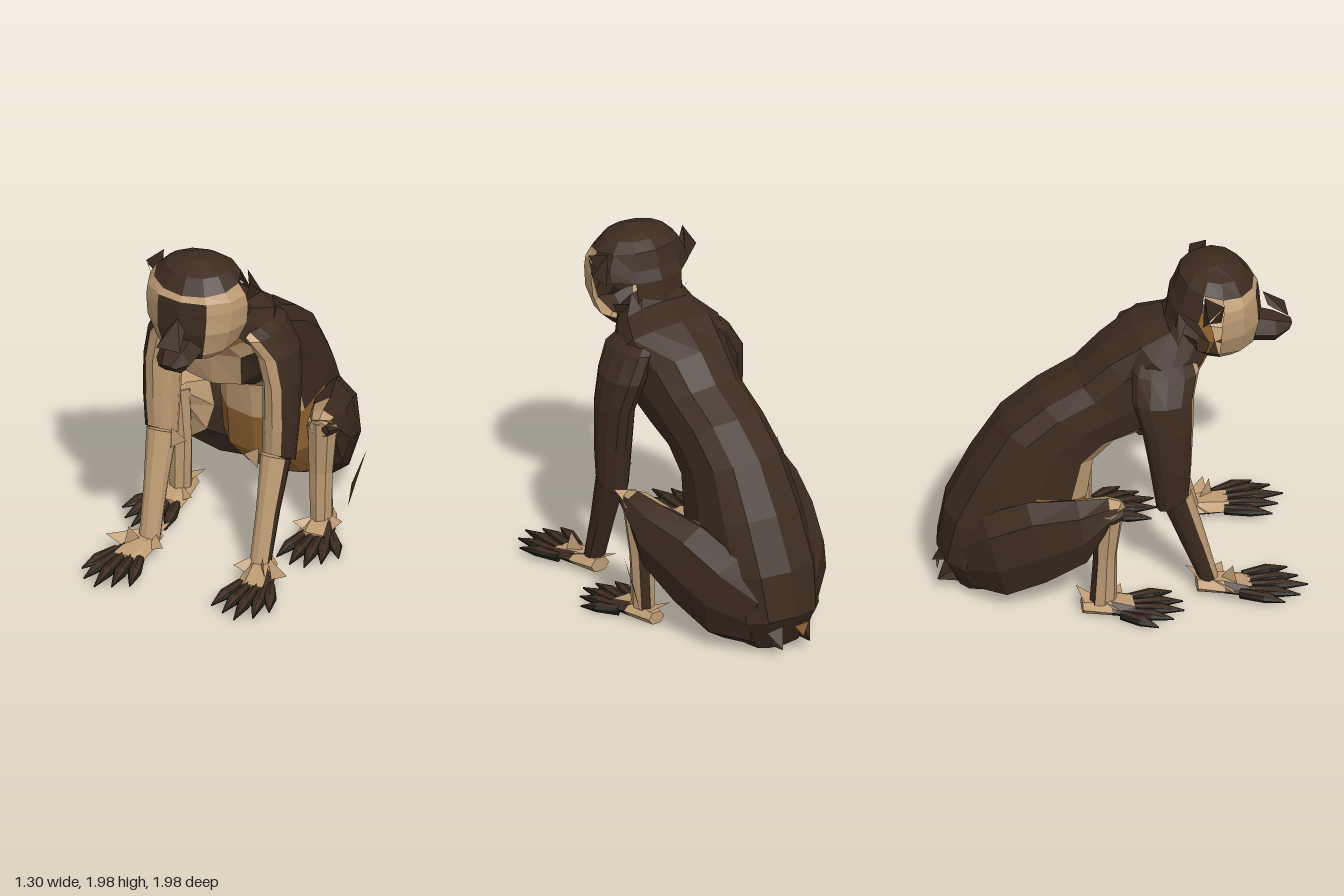
import * as THREE from 'three';

const paint = (name, color) => new THREE.MeshStandardMaterial({ name, color, side: THREE.DoubleSide });

export function createModel() {
  const model = new THREE.Group();
  model.name = 'sittingMonkey';
  const mats = [
    paint('darkFur', 0x3c2b1f), paint('tanFur', 0xbe9c74),
    paint('ochreFur', 0x906331), paint('blackSkin', 0x201e14),
  ];
  const DARK = 0, TAN = 1, OCHRE = 2, BLACK = 3, NONE = -1;

  // Faceted mesh from triangles sorted by colour
  function addMesh(name, buckets, parent) {
    const geo = new THREE.BufferGeometry();
    const pos = [];
    buckets.forEach((list, m) => {
      if (!list.length) return;
      geo.addGroup(pos.length / 3, list.length, m);
      list.forEach((p) => pos.push(p.x, p.y, p.z));
    });
    geo.setAttribute('position', new THREE.Float32BufferAttribute(pos, 3));
    geo.computeVertexNormals();
    const mesh = new THREE.Mesh(geo, mats);
    mesh.name = name;
    parent.add(mesh);
    return mesh;
  }

  // Skin over oval rings, each [x, backZ, backY, frontZ, frontY, halfWidth];
  // colour(segment, outward, forward) picks the fur of each face;
  // a power below 1 makes the ovals boxier
  function loft(name, rings, n, colour, s = 1, parent = model, power = 1) {
    const buckets = mats.map(() => []);
    const bend = (w) => Math.sign(w) * Math.abs(w) ** power;
    const at = rings.map(([x, bz, by, fz, fy, a]) => Array.from({ length: n }, (_, j) => {
      const t = (j / n) * Math.PI * 2, k = bend(Math.sin(t)) / 2;
      return new THREE.Vector3(s * x + a * bend(Math.cos(t)),
        (by + fy) / 2 + k * (fy - by), (bz + fz) / 2 + k * (fz - bz));
    }));
    const mid = rings.map(([x, bz, by, fz, fy]) => new THREE.Vector3(s * x, (by + fy) / 2, (bz + fz) / 2));
    const last = rings.length - 1;
    for (let j = 0; j < n; j++) {
      const k = (j + 1) % n, t = ((j + 0.5) / n) * Math.PI * 2;
      const u = s * Math.cos(t), v = Math.sin(t);
      for (let i = 0; i < last; i++) {
        const c = colour(i, u, v);
        if (c === NONE) continue;
        buckets[c].push(at[i][j], at[i + 1][j], at[i + 1][k], at[i][j], at[i + 1][k], at[i][k]);
      }
      buckets[colour(0, u, v)].push(mid[0], at[0][j], at[0][k]);
      buckets[colour(last - 1, u, v)].push(mid[last], at[last][k], at[last][j]);
    }
    return addMesh(name, buckets, parent);
  }

  // Loose triangular fur tufts, mirrored by s
  function tufts(name, colour, tris, s = 1, parent = model) {
    const buckets = mats.map(() => []);
    tris.forEach((t) => {
      for (let i = 0; i < 9; i += 3) buckets[colour].push(new THREE.Vector3(s * t[i], t[i + 1], t[i + 2]));
    });
    addMesh(name, buckets, parent);
  }

  // Torso from rump to neck: ochre belly and throat, pale chest, dark armpits
  loft('torso', [
    [0, -0.88, 0.05, -0.6, 0.035, 0.16],
    [0, -0.98, 0.26, -0.41, 0.14, 0.26],
    [0, -0.94, 0.52, -0.19, 0.36, 0.29],
    [0, -0.8, 0.8, -0.15, 0.61, 0.28],
    [0, -0.63, 1.07, -0.12, 0.83, 0.255],
    [0, -0.43, 1.23, -0.01, 0.94, 0.25],
    [0, -0.22, 1.35, 0.15, 0.99, 0.25],
    [0, -0.08, 1.49, 0.36, 1.1, 0.27],
    [0, 0.1, 1.6, 0.41, 1.31, 0.31],
    [0, 0.27, 1.65, 0.47, 1.4, 0.24],
    [0, 0.32, 1.75, 0.54, 1.5, 0.17],
  ], 12, (i, u, v) => {
    if (i < 3) return v > 0.2 ? OCHRE : DARK;
    if (v < 0.6) return DARK;
    if (i === 9) return OCHRE;
    return (i === 6 || i === 7) && v < 0.9 ? DARK : TAN;
  }, 1, model, 0.75);

  // Head: dark crown, pale cheeks, dark face, open behind the cheeks
  loft('head', [
    [0, 0.42, 1.45, 0.68, 1.43, 0.14],
    [0, 0.3, 1.55, 0.77, 1.5, 0.23],
    [0, 0.27, 1.65, 0.8, 1.65, 0.285],
    [0, 0.29, 1.77, 0.79, 1.77, 0.295],
    [0, 0.32, 1.83, 0.78, 1.835, 0.285],
    [0, 0.35, 1.93, 0.76, 1.865, 0.245],
    [0, 0.41, 1.97, 0.7, 1.95, 0.18],
    [0, 0.46, 1.99, 0.58, 2.0, 0.07],
  ], 12, (i, u, v) => {
    if (i > 0 && i < 5 && v < 0 && v > (i === 2 ? -0.8 : -0.5)) return NONE;
    if (i > 4 || v < 0) return DARK;
    return v > 0.9 && i !== 4 ? DARK : TAN;
  });

  // Muzzle, with a loose flap for the nose bridge
  loft('muzzle', [
    [0, 0.75, 1.63, 0.75, 1.46, 0.12],
    [0, 0.87, 1.59, 0.87, 1.44, 0.1],
    [0, 0.97, 1.54, 0.93, 1.49, 0.05],
  ], 6, (i, u, v) => (v > 0.9 ? BLACK : DARK));
  tufts('noseBridge', DARK, [
    [-0.07, 1.62, 0.94, 0.07, 1.62, 0.94, 0, 1.75, 0.81],
    [-0.07, 1.62, 0.94, 0, 1.75, 0.81, -0.05, 1.69, 0.83],
    [0.07, 1.62, 0.94, 0, 1.75, 0.81, 0.05, 1.69, 0.83],
  ]);

  // Leaf-shaped finger or toe, dark on top and black below
  function digit(parent, name, x, y, z, heading, length) {
    const mesh = loft(name, [
      [0, 0, 0.03, 0, -0.03, 0.025],
      [0, length * 0.55, 0.028, length * 0.55, -0.028, 0.038],
      [0, length, -0.01, length, -0.02, 0.004],
    ], 8, (i, u, v) => (v < -0.5 ? DARK : BLACK), 1, parent);
    mesh.rotation.y = heading;
    mesh.position.set(x, y, z);
  }

  for (const s of [1, -1]) {
    const side = s > 0 ? 'left' : 'right';
    const arm = new THREE.Group();
    arm.name = side + 'Arm';
    const leg = new THREE.Group();
    leg.name = side + 'Leg';
    model.add(arm, leg);

    // Arm: dark outside, pale along the front and inside
    loft('upperArm', [
      [0.35, 0.17, 0.62, 0.35, 0.73, 0.09],
      [0.355, 0.13, 0.9, 0.36, 0.9, 0.1],
      [0.355, 0.09, 1.15, 0.37, 1.15, 0.1],
      [0.32, 0.04, 1.33, 0.38, 1.33, 0.11],
      [0.25, 0.05, 1.48, 0.42, 1.45, 0.1],
      [0.15, 0.12, 1.56, 0.4, 1.52, 0.07],
    ], 12, (i, u, v) => ((v > 0.2 && u < 0.5) || u < -0.9 ? TAN : DARK), s, arm);
    loft('forearm', [
      [0.33, 0.41, 0.09, 0.51, 0.12, 0.06],
      [0.335, 0.3, 0.38, 0.44, 0.41, 0.065],
      [0.34, 0.2, 0.65, 0.36, 0.72, 0.085],
    ], 12, (i, u, v) => (v > 0.5 || u < -0.5 ? TAN : DARK), s, arm);

    // Hands and feet: rings run forward, back edge is the top
    const palmFur = (i, u, v) => {
      if (i === 0) return TAN;
      if (v > 0) return BLACK;
      return u < 0.5 ? TAN : DARK;
    };
    loft('palm', [
      [0.34, 0.39, 0.13, 0.39, 0.04, 0.06],
      [0.36, 0.53, 0.13, 0.53, 0.035, 0.09],
      [0.39, 0.68, 0.1, 0.68, 0.035, 0.11],
    ], 6, palmFur, s, arm);
    [[0.3, 0.65, -0.22, 0.26], [0.35, 0.66, -0.07, 0.29], [0.4, 0.66, 0.05, 0.33],
      [0.44, 0.65, 0.22, 0.29], [0.46, 0.61, 0.4, 0.25]]
      .forEach(([x, z, h, l]) => digit(arm, 'finger', s * x, 0.07, z, s * h, l));
    tufts('armTufts', TAN, [
      [0.26, 0.74, 0.33, 0.17, 0.68, 0.33, 0.26, 0.62, 0.34],
      [0.3, 0.15, 0.46, 0.21, 0.11, 0.55, 0.29, 0.08, 0.55],
      [0.38, 0.14, 0.45, 0.54, 0.13, 0.57, 0.42, 0.08, 0.58],
      [0.36, 0.12, 0.52, 0.4, 0.22, 0.58, 0.42, 0.1, 0.6],
      [0.28, 0.12, 0.42, 0.26, 0.15, 0.34, 0.36, 0.12, 0.4],
    ], s, arm);

    // Thigh: rings run forward from hip to knee
    loft('thigh', [
      [0.12, -0.91, 0.42, -0.82, 0.05, 0.1],
      [0.23, -0.77, 0.6, -0.63, 0.05, 0.165],
      [0.32, -0.54, 0.72, -0.43, 0.17, 0.15],
      [0.405, -0.28, 0.765, -0.23, 0.35, 0.13],
      [0.44, -0.11, 0.785, -0.13, 0.58, 0.09],
      [0.45, -0.03, 0.76, -0.04, 0.66, 0.06],
    ], 8, (i, u, v) => ((i === 3 && u < 0) || (i === 4 && (u < 0.5 || v < -0.5)) ? TAN : DARK), s, leg);
    loft('shin', [
      [0.42, -0.21, 0.08, -0.06, 0.1, 0.06],
      [0.42, -0.19, 0.4, -0.06, 0.4, 0.07],
      [0.44, -0.2, 0.7, -0.02, 0.74, 0.085],
    ], 8, (i, u, v) => (u > 0.3 && v < -0.8 ? DARK : TAN), s, leg);

    // Foot
    loft('sole', [
      [0.41, -0.25, 0.1, -0.25, 0.02, 0.05],
      [0.43, -0.1, 0.12, -0.1, 0.015, 0.09],
      [0.45, 0.03, 0.09, 0.03, 0.015, 0.11],
    ], 6, palmFur, s, leg);
    [[0.38, 0, -0.18, 0.26], [0.43, 0.01, 0, 0.29], [0.47, 0, 0.15, 0.3],
      [0.5, -0.02, 0.33, 0.26], [0.52, -0.05, 0.6, 0.22]]
      .forEach(([x, z, h, l]) => digit(leg, 'toe', s * x, 0.05, z, s * h, l));
    tufts('legTufts', TAN, [
      [0.4, 0.75, -0.04, 0.54, 0.79, -0.03, 0.5, 0.71, -0.1],
      [0.4, 0.12, -0.1, 0.3, 0.1, -0.02, 0.37, 0.06, -0.02],
      [0.47, 0.12, -0.14, 0.56, 0.12, -0.1, 0.5, 0.06, -0.04],
      [0.38, 0.1, -0.18, 0.33, 0.14, -0.27, 0.45, 0.1, -0.24],
    ], s, leg);

    // Pointed ear, and ragged fur beside the tail root
    tufts(side + 'Ear', DARK, [
      [0.26, 1.74, 0.44, 0.31, 1.9, 0.55, 0.25, 1.93, 0.45],
      [0.26, 1.74, 0.44, 0.34, 1.82, 0.46, 0.25, 1.93, 0.45],
      [0.26, 1.76, 0.54, 0.31, 1.9, 0.55, 0.34, 1.82, 0.46],
    ], s);
    tufts(side + 'TailFur', DARK, [
      [0.04, 0.26, -0.92, 0.09, 0.09, -0.99, 0.1, 0.05, -0.75],
      [0.04, 0.26, -0.92, 0.18, 0.24, -0.86, 0.09, 0.09, -0.99],
    ], s);
  }

  // Ochre patch at the tail root and a long stray tuft on the left ankle
  tufts('tailPatch', OCHRE, [[0.01, 0.21, -0.985, -0.09, 0.21, -0.98, -0.05, 0.13, -0.985]]);
  tufts('ankleTuft', DARK, [[0.52, 0.12, -0.26, 0.63, 0.5, -0.26, 0.55, 0.28, -0.24]]);
  return model;
}
